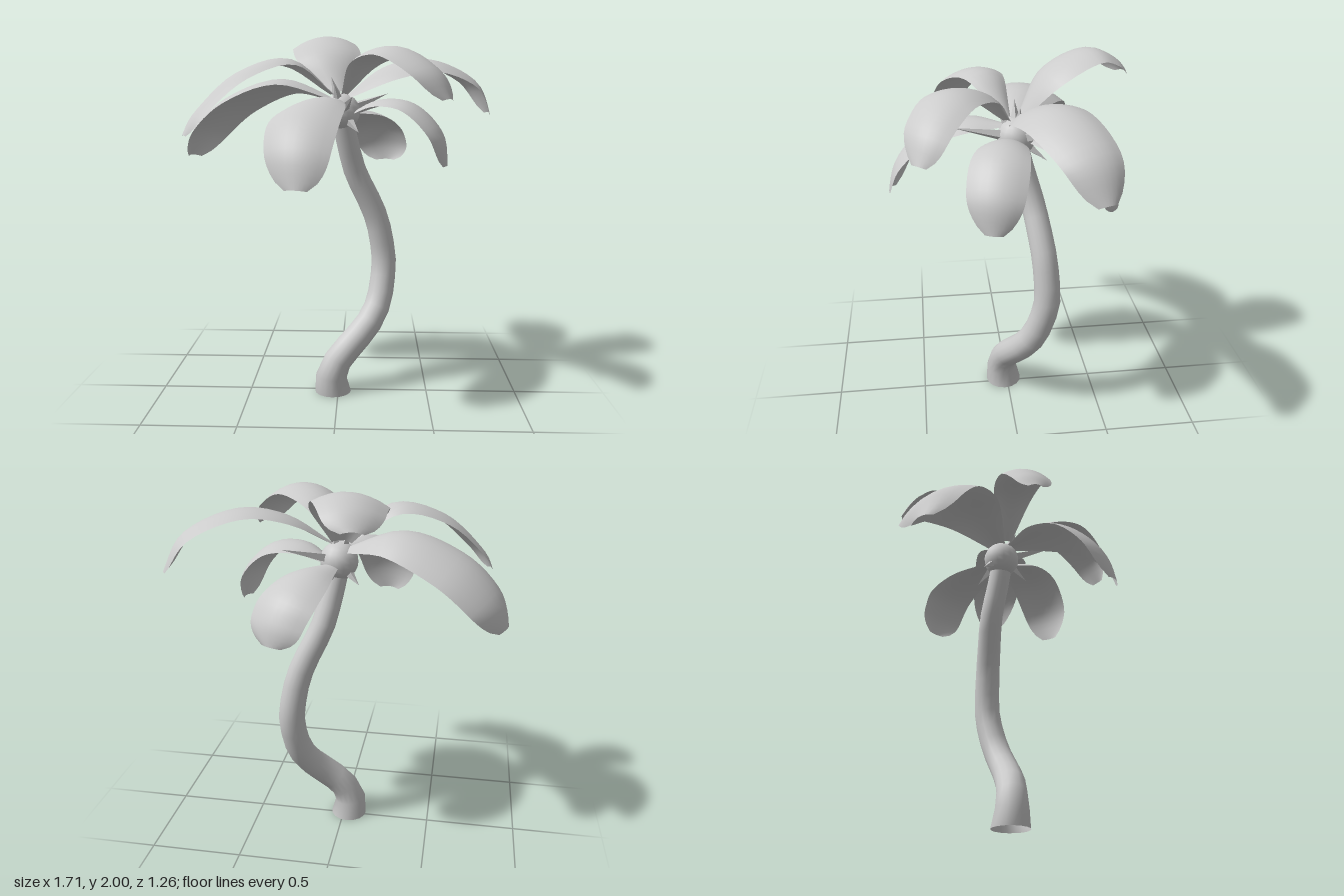
import * as THREE from 'three';

const material = new THREE.MeshStandardMaterial({ color: 0xcccccc });
const thinMaterial = new THREE.MeshStandardMaterial({ color: 0xcccccc, side: THREE.DoubleSide });
const UP = new THREE.Vector3(0, 1, 0);
const vec = (p) => new THREE.Vector3(p[0], p[1], p[2]);
const curveOf = (points) => new THREE.CatmullRomCurve3(points, false, 'catmullrom', 0.5);

function add(parent, name, geometry, mat = material) {
  const mesh = new THREE.Mesh(geometry, mat);
  mesh.name = name;
  parent.add(mesh);
  return mesh;
}

// Bent trunk, open at the foot: a unit tube whose rings are scaled to a tapering radius
function trunkGeometry() {
  const curve = curveOf([
    [-0.03, 0, 0.02], [-0.037, 0.1, 0.03], [0.01, 0.2, 0.015], [0.085, 0.28, -0.015], [0.18, 0.39, -0.075],
    [0.23, 0.5, -0.13], [0.253, 0.65, -0.175], [0.253, 0.76, -0.188], [0.22, 0.94, -0.176],
    [0.17, 1.07, -0.157], [0.09, 1.24, -0.123], [0.045, 1.42, -0.073], [0.025, 1.52, -0.05],
  ].map(vec));
  const rings = 18, sides = 16;
  const geometry = new THREE.TubeGeometry(curve, rings, 1, sides);
  const pos = geometry.attributes.position;
  const v = new THREE.Vector3();
  for (let i = 0; i <= rings; i++) {
    const t = i / rings;
    const radius = 0.082 - 0.022 * t + 0.02 * Math.max(0, 1 - t * 12);
    const centre = curve.getPointAt(t);
    for (let j = 0; j <= sides; j++) {
      const k = i * (sides + 1) + j;
      v.fromBufferAttribute(pos, k).sub(centre).multiplyScalar(radius).add(centre);
      pos.setXYZ(k, v.x, i === 0 ? 0 : v.y, v.z);
    }
  }
  return geometry;
}

// Leaf: arched cross-sections along a midline, rounded off at the tip and rolled
// a little to one side; each point is x, y, z, width
function leafGeometry(roll, points) {
  const mid = curveOf(points.map(vec));
  const widths = curveOf(points.map((p) => new THREE.Vector3(p[3], 0, 0)));
  const side = vec(points[points.length - 1]).sub(vec(points[0])).cross(UP).normalize();
  const rows = 20, cols = 8;
  const positions = [], index = [];
  for (let i = 0; i <= rows; i++) {
    const t = i / rows;
    const normal = new THREE.Vector3().crossVectors(side, mid.getTangent(t)).normalize();
    const tip = Math.max(0, (t - 0.75) / 0.25);
    const half = widths.getPoint(t).x / 2 * Math.sqrt(1 - 0.8 * tip ** 3);
    for (let j = 0; j <= cols; j++) {
      const s = (j / cols) * 2 - 1;
      const p = mid.getPoint(t).addScaledVector(side, s * half)
        .addScaledVector(normal, half * (0.1 + roll * s - 0.31 * s * s));
      positions.push(p.x, p.y, p.z);
      if (i < rows && j < cols) {
        const a = i * (cols + 1) + j, b = a + cols + 1;
        index.push(a, a + 1, b, a + 1, b + 1, b);
      }
    }
  }
  const geometry = new THREE.BufferGeometry();
  geometry.setAttribute('position', new THREE.Float32BufferAttribute(positions, 3));
  geometry.setIndex(index);
  geometry.computeVertexNormals();
  return geometry;
}

export function createModel() {
  const tree = new THREE.Group();
  tree.name = 'palmTree';

  add(tree, 'trunk', trunkGeometry(), thinMaterial);

  // Round crown that the leaves grow from
  const centre = new THREE.Vector3(0.015, 1.575, -0.045);
  add(tree, 'crown', new THREE.SphereGeometry(0.1, 16, 12)).position.copy(centre);

  // Small pointed shoots around the crown, given by their tips
  const shoots = new THREE.Group();
  shoots.name = 'shoots';
  tree.add(shoots);
  for (const tip of [
    [0.27, 1.67, -0.24], [0.08, 1.66, 0.28], [0.11, 1.47, 0.08], [0.07, 1.46, -0.2],
    [-0.1, 1.47, -0.12], [-0.04, 1.76, -0.04], [0.05, 1.74, -0.06], [-0.02, 1.72, 0.05],
  ]) {
    const dir = vec(tip).sub(centre);
    const length = dir.length() - 0.07;
    dir.normalize();
    const geometry = new THREE.ConeGeometry(0.03, length, 4).toNonIndexed();
    geometry.computeVertexNormals();
    const shoot = add(shoots, 'shoot', geometry);
    shoot.position.copy(centre).addScaledVector(dir, 0.07 + length / 2);
    shoot.quaternion.setFromUnitVectors(UP, dir);
  }

  // Broad drooping leaves
  const leaves = new THREE.Group();
  leaves.name = 'leaves';
  tree.add(leaves);
  const leaf = (name, roll, ...points) => add(leaves, name, leafGeometry(roll, points), thinMaterial);

  leaf('backLeaf', 0.1, [0, 1.68, -0.06, 0.1], [-0.05, 1.88, -0.2, 0.35],
    [-0.1, 1.975, -0.4, 0.36], [-0.13, 1.94, -0.53, 0.3], [-0.145, 1.86, -0.62, 0.24]);
  leaf('backRightLeaf', 0.1, [0.03, 1.57, -0.1, 0.06], [0.13, 1.56, -0.28, 0.25],
    [0.21, 1.49, -0.43, 0.32], [0.26, 1.38, -0.5, 0.31], [0.27, 1.27, -0.53, 0.26]);
  leaf('rightLeaf', -0.15, [0.05, 1.66, -0.03, 0.06], [0.27, 1.8, -0.1, 0.28],
    [0.5, 1.84, -0.18, 0.32], [0.74, 1.74, -0.28, 0.28], [0.85, 1.56, -0.33, 0.2]);
  leaf('lowerRightLeaf', 0, [0.06, 1.56, -0.03, 0.06], [0.22, 1.63, 0.03, 0.22],
    [0.39, 1.61, 0.08, 0.29], [0.53, 1.47, 0.12, 0.28], [0.57, 1.3, 0.13, 0.2]);
  leaf('leftLeaf', -0.15, [-0.02, 1.64, -0.05, 0.08], [-0.3, 1.73, -0.14, 0.35],
    [-0.58, 1.635, -0.195, 0.43], [-0.76, 1.48, -0.22, 0.41], [-0.845, 1.32, -0.22, 0.3]);
  leaf('frontLeftLeaf', 0, [-0.03, 1.67, 0, 0.05], [-0.25, 1.84, 0.09, 0.22],
    [-0.5, 1.77, 0.205, 0.25], [-0.69, 1.59, 0.29, 0.2], [-0.765, 1.47, 0.325, 0.16]);
  leaf('frontRightLeaf', 0, [0.03, 1.67, 0, 0.05], [0.13, 1.84, 0.14, 0.23],
    [0.29, 1.89, 0.3, 0.3], [0.45, 1.79, 0.42, 0.27], [0.54, 1.65, 0.46, 0.19]);
  leaf('frontLeaf', 0, [-0.01, 1.64, 0.02, 0.07], [-0.09, 1.64, 0.2, 0.28],
    [-0.16, 1.57, 0.4, 0.37], [-0.185, 1.42, 0.55, 0.34], [-0.18, 1.235, 0.62, 0.26]);

  return tree;
}
